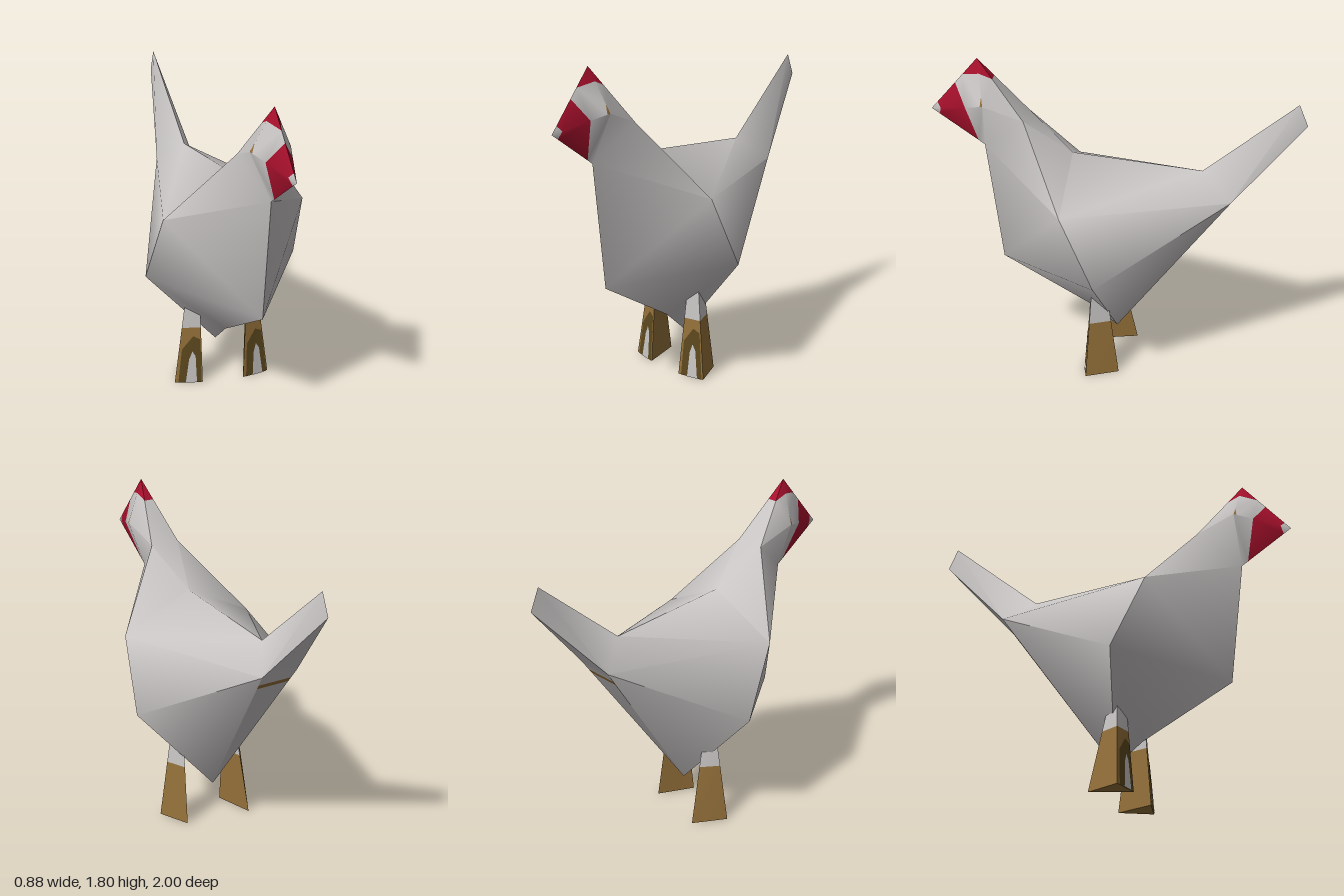
import * as THREE from 'three';
import { toCreasedNormals } from 'three/addons/utils/BufferGeometryUtils.js';

const V = (x, y, z) => new THREE.Vector3(x, y, z);
const mix = (a, b, t) => a.clone().lerp(b, t);
const flip = (p) => V(-p.x, p.y, p.z);

function material(name, color) {
  const m = new THREE.MeshStandardMaterial({ color, side: THREE.DoubleSide });
  m.name = name;
  return m;
}

// Gathers faces by part, turns each away from an inner point, smooths all together, then splits by part
class Skin {
  constructor() { this.parts = new Map(); }

  face(part, core, points) {
    if (!this.parts.has(part)) this.parts.set(part, []);
    const list = this.parts.get(part);
    for (let i = 1; i < points.length - 1; i++) {
      const t = [points[0], points[i], points[i + 1]];
      const n = t[1].clone().sub(t[0]).cross(t[2].clone().sub(t[0]));
      if (n.dot(t[0].clone().add(t[1]).add(t[2]).divideScalar(3).sub(core)) < 0) t.reverse();
      list.push(...t);
    }
  }

  both(part, core, points) {
    this.face(part, core, points);
    this.face(part, core, points.map(flip));
  }

  build(group, materials, crease) {
    const all = [...this.parts.values()].flat();
    const whole = toCreasedNormals(new THREE.BufferGeometry().setFromPoints(all), crease);
    let start = 0;
    for (const [part, pts] of this.parts) {
      const g = new THREE.BufferGeometry();
      for (const key of ['position', 'normal']) {
        const a = whole.attributes[key].array.slice(start * 3, (start + pts.length) * 3);
        g.setAttribute(key, new THREE.BufferAttribute(a, 3));
      }
      start += pts.length;
      const mesh = new THREE.Mesh(g, materials[part]);
      mesh.name = part;
      group.add(mesh);
    }
  }
}

function makeLeg(name, bottom, top, topY, mats) {
  const leg = new THREE.Group();
  leg.name = name;
  const skin = new Skin();
  const at = (i, y) => mix(V(bottom[i][0], 0, bottom[i][1]), V(top[i][0], topY, top[i][1]), y / topY);
  const core = at(0, 0.2).add(at(1, 0.2)).add(at(2, 0.2)).divideScalar(3);
  // three tapered sides, brown below and feathered above
  for (let i = 0; i < 3; i++) {
    const j = (i + 1) % 3;
    skin.face('shin', core, [at(i, 0), at(j, 0), at(j, 0.33), at(i, 0.33)]);
    skin.face('thigh', core, [at(i, 0.33), at(j, 0.33), at(j, topY), at(i, topY)]);
  }
  skin.face('shin', core, [0, 1, 2].map((i) => at(i, 0)));
  skin.face('thigh', core, [0, 1, 2].map((i) => at(i, topY)));
  // thin mottled patches on the front
  const patch = (part, lift, uv) => skin.face(part, core,
    uv.map(([u, y]) => mix(at(0, y), at(1, y), u).add(V(0, 0, lift))));
  patch('darkPatch', 0.003, [[0.12, 0.0], [0.95, 0.0], [0.95, 0.26], [0.6, 0.28], [0.12, 0.2]]);
  patch('palePatch', 0.006, [[0.38, 0.0], [0.78, 0.0], [0.72, 0.16], [0.58, 0.19], [0.45, 0.14]]);
  skin.build(leg, mats, 0.5);
  return leg;
}

export function createModel() {
  const feather = material('feather grey', 0xc8c4c4);
  const red = material('comb red', 0xa8102c);
  const brown = material('leg brown', 0x94703a);
  const dark = material('dark brown', 0x5c481e);

  const model = new THREE.Group();
  model.name = 'hen';

  // corner points; those off the middle are mirrored
  const crown = V(0, 1.8, 0.74), beak = V(0, 1.5, 1.0), throat = V(0, 1.3, 0.72);
  const cheek = V(0.11, 1.57, 0.7), nape = V(0.085, 1.485, 0.49);
  const backFront = V(0, 1.28, 0.24), backRear = V(0, 1.21, -0.46);
  const shoulder = V(0.4, 1.085, 0.26), flank = V(0.44, 0.69, 0.08);
  const chest = V(0, 0.61, 0.64), belly = V(0, 0.32, 0.15), keel = V(0, 0.19, 0);
  const rump = V(0.11, 1.08, -0.62), tailTop = V(0, 1.62, -0.95), tailEnd = V(0, 1.5, -1.0);

  const skin = new Skin();

  // body
  const mid = V(0, 0.9, 0.1);
  [
    [backFront, shoulder, nape], [backFront, backRear, shoulder], [backRear, rump, shoulder],
    [shoulder, rump, flank], [shoulder, flank, chest], [shoulder, chest, throat],
    [shoulder, throat, nape], [flank, chest, belly], [flank, belly, keel], [flank, keel, rump],
  ].forEach((f) => skin.both('body', mid, f));
  skin.face('body', mid, [backFront, nape, flip(nape)]);

  // underside with a thin brown band below the tail
  const u1 = mix(rump, keel, 0.065), u2 = mix(rump, keel, 0.095);
  skin.face('body', mid, [rump, u1, flip(u1), flip(rump)]);
  skin.face('rumpBand', mid, [u1, u2, flip(u2), flip(u1)]);
  skin.face('body', mid, [u2, keel, flip(u2)]);

  // tail
  const tailMid = V(0, 1.3, -0.73);
  skin.both('tail', tailMid, [backRear, tailTop, rump]);
  skin.both('tail', tailMid, [tailTop, tailEnd, rump]);
  skin.face('tail', tailMid, [rump, flip(rump), tailEnd]);

  // head: red comb at the crown
  const headMid = V(0, 1.53, 0.74);
  const combFront = mix(crown, beak, 0.32), combSide = mix(crown, cheek, 0.32), combBack = mix(crown, nape, 0.33);
  skin.both('comb', headMid, [crown, combFront, combSide]);
  skin.both('comb', headMid, [crown, combSide, combBack]);
  skin.face('comb', headMid, [crown, combBack, flip(combBack)]);
  skin.both('head', headMid, [combBack, combSide, cheek, nape]);
  skin.face('head', headMid, [combBack, nape, flip(nape), flip(combBack)]);
  skin.both('head', headMid, [nape, throat, cheek]);

  // head: red face around a pale beak tip, and a small brown eye
  const brow = mix(crown, beak, 0.48), side = mix(cheek, beak, 0.34), chin = mix(throat, beak, 0.12);
  const tipTop = mix(crown, beak, 0.87), tipSide = mix(cheek, beak, 0.82), tipLow = mix(throat, beak, 0.85);
  const eyeFront = mix(cheek, side, 0.15), eyeTop = mix(cheek, combSide, 0.3);
  skin.both('head', headMid, [combFront, brow, side, eyeFront, eyeTop, combSide]);
  skin.both('eye', headMid, [cheek, eyeFront, eyeTop]);
  skin.both('face', headMid, [brow, tipTop, tipSide, side]);
  skin.both('face', headMid, [side, tipSide, tipLow, chin]);
  skin.both('head', headMid, [cheek, side, chin, throat]);
  skin.both('beakTip', headMid, [tipTop, beak, tipSide]);
  skin.both('beakTip', headMid, [tipSide, beak, tipLow]);

  skin.build(model, {
    body: feather, tail: feather, head: feather, beakTip: feather,
    comb: red, face: red, eye: brown, rumpBand: brown,
  }, 1.0);

  // legs, each turned a little differently
  const legMats = { shin: brown, thigh: feather, darkPatch: dark, palePatch: feather };
  model.add(makeLeg('leftLeg', [[0.1, 0.17], [0.26, 0.15], [0.19, -0.03]],
    [[0.135, 0.13], [0.2, 0.12], [0.17, 0.04]], 0.52, legMats));
  model.add(makeLeg('rightLeg', [[-0.28, 0.08], [-0.13, 0.13], [-0.18, -0.1]],
    [[-0.2, 0.06], [-0.13, 0.09], [-0.155, 0.01]], 0.52, legMats));

  return model;
}
